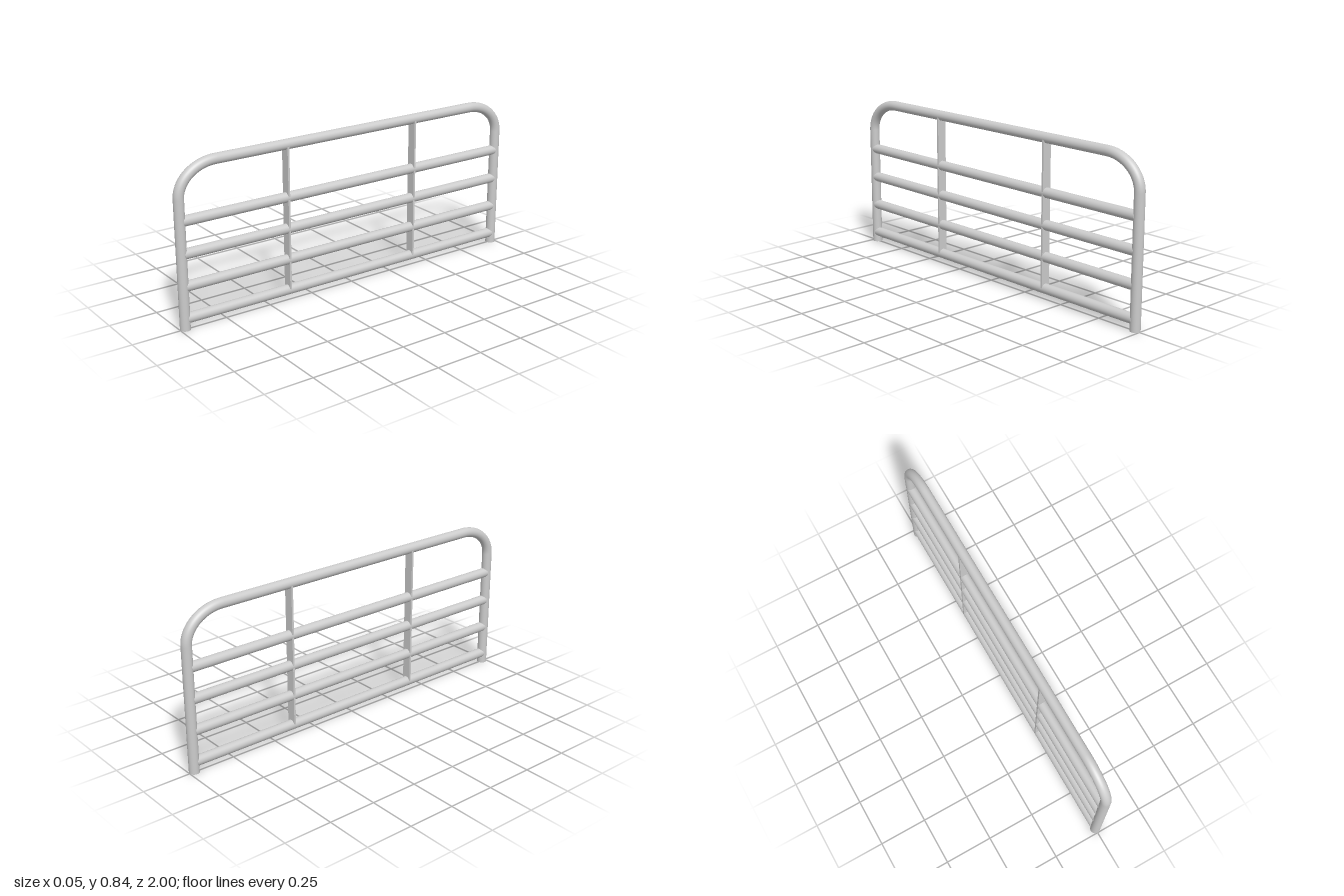
import * as THREE from 'three';

const R = 0.026;       // tube radius
const END_Z = 0.974;   // post centre line
const TOP_Y = 0.814;   // top rail centre line
const BEND_Y = 0.655;  // where the posts start to bend
const BEND_Z = 0.775;  // where the bend meets the top rail
const SIDES = 32;

const material = new THREE.MeshStandardMaterial({ color: 0xcccccc });

function add(group, name, geometry, x, y, z) {
  const mesh = new THREE.Mesh(geometry, material);
  mesh.name = name;
  mesh.position.set(x, y, z);
  group.add(mesh);
  return mesh;
}

// Quarter-ellipse bend from a post into the top rail
class BendCurve extends THREE.Curve {
  constructor(side) {
    super();
    this.side = side;
  }
  getPoint(t, target = new THREE.Vector3()) {
    const a = t * Math.PI / 2;
    const z = BEND_Z + (END_Z - BEND_Z) * Math.cos(a);
    const y = BEND_Y + (TOP_Y - BEND_Y) * Math.sin(a);
    return target.set(0, y, z * this.side);
  }
}

export function createModel() {
  const gate = new THREE.Group();
  gate.name = 'gate';

  // Outer frame: two posts, two bends and the top rail
  for (const side of [1, -1]) {
    const end = side > 0 ? 'front' : 'back';
    add(gate, end + 'Post', new THREE.CylinderGeometry(R, R, BEND_Y, SIDES), 0, BEND_Y / 2, side * END_Z);
    add(gate, end + 'Bend', new THREE.TubeGeometry(new BendCurve(side), 24, R, SIDES), 0, 0, 0);
  }
  const topRail = add(gate, 'topRail', new THREE.CylinderGeometry(R, R, 2 * BEND_Z, SIDES), 0, TOP_Y, 0);
  topRail.rotation.x = Math.PI / 2;

  // Horizontal rails between the posts
  const railGeometry = new THREE.CylinderGeometry(R, R, 1.93, SIDES);
  for (let i = 0; i < 4; i++) {
    const rail = add(gate, 'rail' + (i + 1), railGeometry, 0, 0.056 + i * 0.163, 0);
    rail.rotation.x = Math.PI / 2;
  }

  // Flat upright straps
  const strapBottom = 0.056;
  const strapGeometry = new THREE.BoxGeometry(0.05, TOP_Y - strapBottom, 0.01);
  for (const side of [1, -1]) {
    add(gate, side > 0 ? 'frontStrap' : 'backStrap', strapGeometry, 0, (TOP_Y + strapBottom) / 2, side * 0.39);
  }

  return gate;
}
